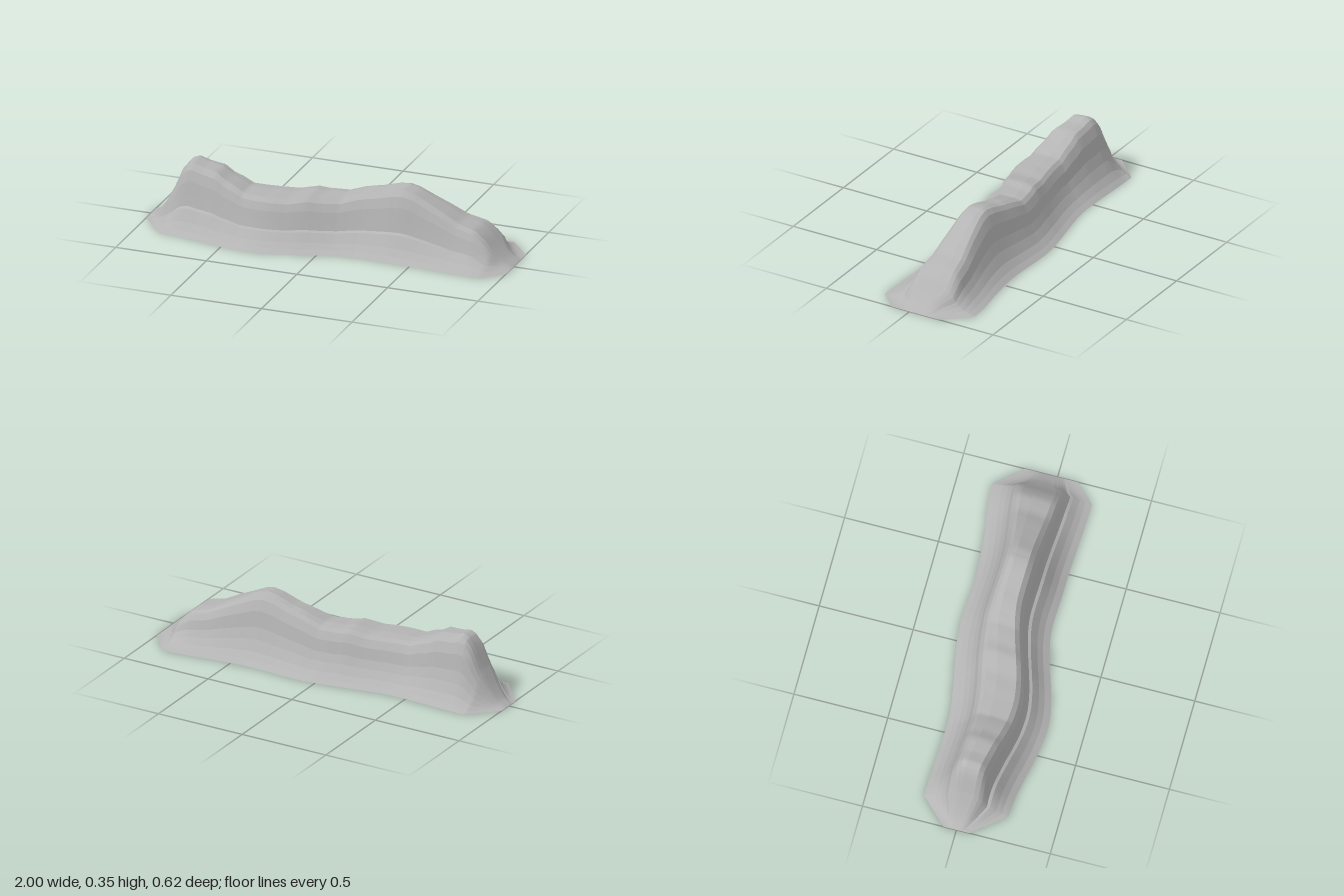
import * as THREE from 'three';

// piecewise interpolation through [x, value] knots
function sample(knots, x, smooth) {
  for (let i = 1; i < knots.length; i++) {
    const [x0, v0] = knots[i - 1], [x1, v1] = knots[i];
    if (x <= x1) {
      let t = Math.max(0, (x - x0) / (x1 - x0));
      if (smooth && x0 > -1 && x1 < 1) t = t * t * (3 - 2 * t);
      return v0 + (v1 - v0) * t;
    }
  }
  return knots[knots.length - 1][1];
}

// skyline and the two winding base edges
const HEIGHT = [[-1, 0], [-0.95, 0.03], [-0.9, 0.1], [-0.85, 0.19], [-0.8, 0.31], [-0.77, 0.345], [-0.74, 0.355],
  [-0.68, 0.34], [-0.6, 0.33], [-0.55, 0.297], [-0.5, 0.28], [-0.44, 0.25], [-0.3, 0.247], [-0.2, 0.245],
  [-0.1, 0.265], [-0.05, 0.257], [0.06, 0.257], [0.15, 0.29], [0.25, 0.315], [0.34, 0.343], [0.4, 0.352],
  [0.45, 0.34], [0.55, 0.29], [0.62, 0.255], [0.7, 0.21], [0.8, 0.182], [0.85, 0.14], [0.9, 0.08], [0.95, 0.03], [1, 0]];
const FRONT = [[-1, 0.07], [-0.86, 0.24], [-0.35, 0.31], [0.22, 0.187], [0.42, 0.193], [0.9, 0.21], [1, 0.11]];
const BACK = [[-1, -0.07], [-0.86, -0.21], [-0.45, -0.197], [0.12, -0.275], [0.4, -0.263], [0.88, -0.315], [1, -0.175]];

// cross-section: [distance in from the base edge, fraction of the height]
const FRONT_SIDE = [[0, 0], [0.035, 0.07], [0.065, 0.17], [0.1, 0.335], [0.116, 0.36], [0.128, 0.52], [0.142, 0.72],
  [0.16, 0.88], [0.185, 0.97]];
const BACK_SIDE = [[0.17, 0.97], [0.15, 0.9], [0.128, 0.74], [0.112, 0.5], [0.09, 0.33], [0.06, 0.17], [0.03, 0.07], [0, 0]];

function section(x) {
  const h = sample(HEIGHT, x), front = sample(FRONT, x, true), back = sample(BACK, x, true);
  const s = Math.min(1, (front - back) / 0.45);
  const point = (z, f) => new THREE.Vector3(x, Math.max(0, h * f), z);
  const ripple = 0.012 * Math.sin(x * 41) + 0.01 * Math.sin(x * 67 + 1);
  const rows = FRONT_SIDE.map(([d, f]) => point(front - d * s, f));
  rows.push(point((front + back) / 2 - 0.03 * s, 0.99 + ripple * 0.4));
  BACK_SIDE.forEach(([d, f]) => rows.push(point(back + d * s, f)));
  return rows;
}

// one rock band: smooth along the ridge, creased against its neighbours
function bandGeometry(sections, r) {
  const positions = [], index = [];
  sections.forEach((rows, i) => {
    positions.push(...rows[r].toArray(), ...rows[r + 1].toArray());
    if (i) {
      const a = 2 * i - 2;
      index.push(a, a + 2, a + 3, a, a + 3, a + 1);
    }
  });
  const g = new THREE.BufferGeometry();
  g.setAttribute('position', new THREE.Float32BufferAttribute(positions, 3));
  g.setIndex(index);
  g.computeVertexNormals();
  return g;
}

export function createModel() {
  const rock = new THREE.MeshStandardMaterial({ color: 0xb4b4b4, side: THREE.DoubleSide });
  rock.name = 'grey rock';
  const model = new THREE.Group();
  model.name = 'rockRidge';

  // stations along the ridge, including the corners of the ends
  const xs = [...HEIGHT, ...FRONT, ...BACK].map(k => k[0]);
  for (let i = 1; i < 80; i++) xs.push(-1 + i / 40);
  const stations = [...new Set(xs.map(x => Math.round(x * 1000) / 1000))].sort((a, b) => a - b);
  const sections = stations.map(section);

  // bands from the front foot, over the crest, to the back foot
  const crest = FRONT_SIDE.length - 1;
  for (let r = 0; r < sections[0].length - 1; r++) {
    const mesh = new THREE.Mesh(bandGeometry(sections, r), rock);
    mesh.name = r < crest ? `frontBand${r + 1}` : r < crest + 2 ? `crestBand${r - crest + 1}` : `backBand${r - crest - 1}`;
    model.add(mesh);
  }

  // two triangular plates across the open underside
  [[0.61, 0.335, 0.33], [-0.07, -0.355, -0.35]].forEach(([a, b, c], i) => {
    const g = new THREE.BufferGeometry().setFromPoints([
      new THREE.Vector3(a, 0, sample(BACK, a, true)),
      new THREE.Vector3(b, 0, sample(BACK, b, true)),
      new THREE.Vector3(c, 0, sample(FRONT, c, true))]);
    g.computeVertexNormals();
    const plate = new THREE.Mesh(g, rock);
    plate.name = `undersidePlate${i + 1}`;
    model.add(plate);
  });
  return model;
}
